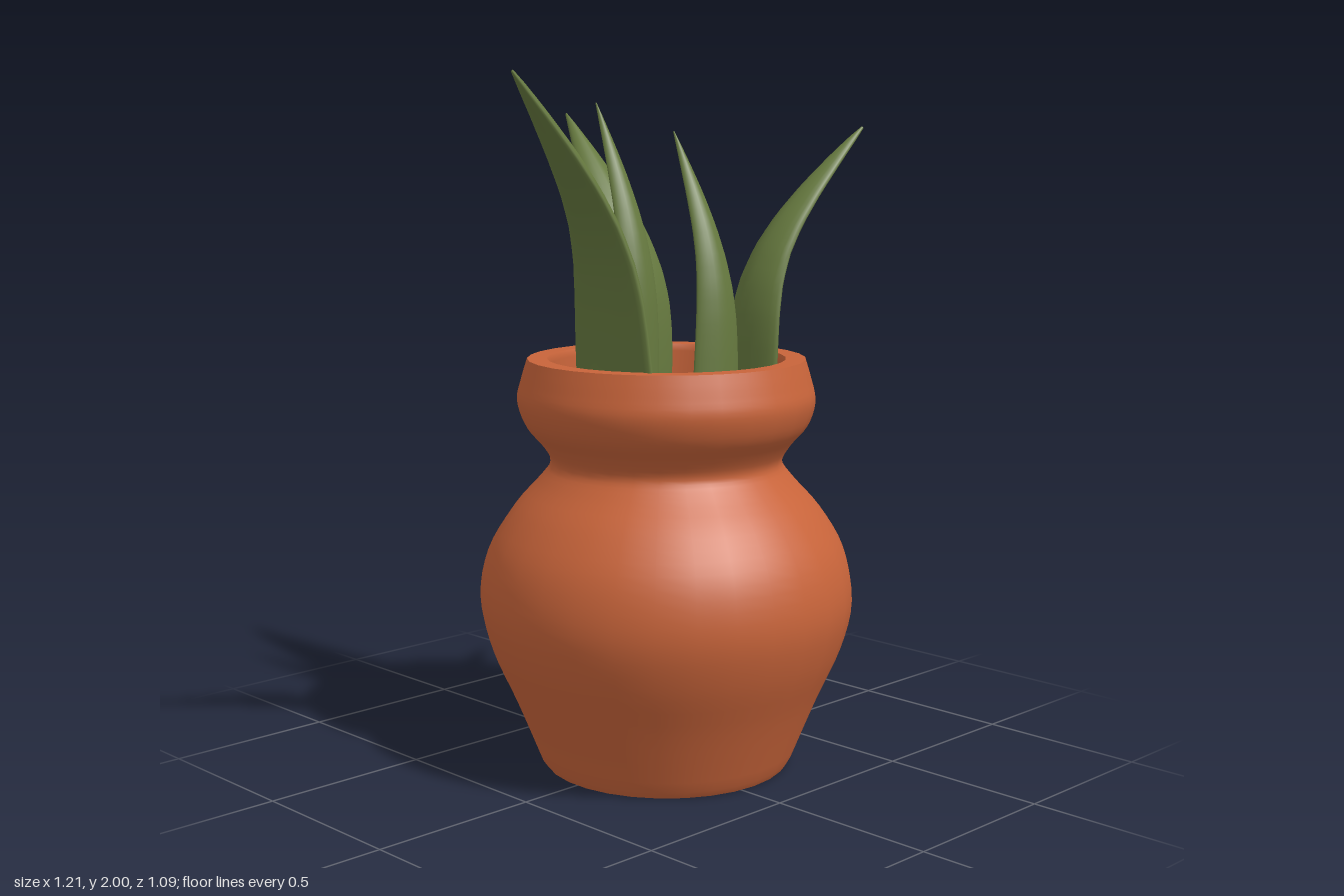
import * as THREE from 'three';

const clay = new THREE.MeshStandardMaterial({ color: 0xc8643a });
const earth = new THREE.MeshStandardMaterial({ color: 0x8a5a46 });
const green = new THREE.MeshStandardMaterial({ color: 0x66793f });

const SOIL_Y = 1.0;
const POT_X = 0.05;

function part(name, geometry, material) {
  const mesh = new THREE.Mesh(geometry, material);
  mesh.name = name;
  return mesh;
}

// Piecewise smooth curve y(x) through a few points, sampled by parameter
function profile(pairs) {
  return new THREE.SplineCurve(pairs.map(([x, y]) => new THREE.Vector2(x, y)));
}

// Pot: outer wall, rim and inner wall in one turned profile
function potGeometry() {
  const wall = profile([
    [0.372, 0.02], [0.445, 0.2], [0.515, 0.36], [0.545, 0.5], [0.52, 0.64],
    [0.45, 0.76], [0.37, 0.85], [0.337, 0.9], [0.36, 0.95], [0.41, 1.01],
    [0.432, 1.08], [0.42, 1.14], [0.402, 1.2],
  ]).getPoints(48);
  const p = (x, y) => new THREE.Vector2(x, y);
  // doubled points keep the foot and rim edges crisp
  const points = [
    p(0, 0), p(0.358, 0), p(0.358, 0), ...wall,
    p(0.402, 1.2), p(0.345, 1.2), p(0.345, 1.2), p(0.335, 1.18), p(0.33, SOIL_Y - 0.03),
  ];
  return new THREE.LatheGeometry(points, 30);
}

// Leaf: outward drift, width and thickness against height fraction
const DRIFT = [[0, 0], [0.2, 0.005], [0.4, 0.03], [0.5, 0.08], [0.6, 0.17], [0.7, 0.33], [0.8, 0.53], [0.9, 0.76], [1, 1]];
const WIDTH = [[0, 1], [0.2, 0.98], [0.4, 0.88], [0.5, 0.77], [0.65, 0.57], [0.78, 0.4], [0.9, 0.2], [1, 0.015]];

function lookup(table, x) {
  let i = 1;
  while (i < table.length - 1 && table[i][0] < x) i++;
  const [x0, y0] = table[i - 1];
  const [x1, y1] = table[i];
  return y0 + ((y1 - y0) * (x - x0)) / (x1 - x0);
}

// Average over a short window rounds off the corners of the table
function smooth(table, x) {
  const r = Math.min(0.08, x, 1 - x);
  return (lookup(table, x - r) + 2 * lookup(table, x) + lookup(table, x + r)) / 4;
}

// Crescent sections swept along a stem that rises, then leans towards the tip
function leafGeometry(base, tip, width) {
  const ROWS = 28, SIDES = 24;
  const up = new THREE.Vector3(0, 1, 0);
  const foot = new THREE.Vector3(base[0], SOIL_Y - 0.02, base[1]);
  const reach = new THREE.Vector3(tip[0] - base[0], 0, tip[2] - base[1]);
  const length = reach.length();
  const out = reach.normalize();
  const side = new THREE.Vector3().crossVectors(out, up);
  const height = tip[1] - foot.y;
  const positions = [], index = [];

  for (let i = 0; i <= ROWS; i++) {
    const f = i / ROWS;
    const lo = Math.max(0, f - 0.03), hi = Math.min(1, f + 0.03);
    const rise = (hi - lo) * height;
    const run = (smooth(DRIFT, hi) - smooth(DRIFT, lo)) * length;
    const scale = Math.hypot(rise, run);
    // inward-facing normal of the stem
    const normal = out.clone().multiplyScalar(-rise / scale).addScaledVector(up, run / scale);
    const centre = foot.clone()
      .addScaledVector(out, smooth(DRIFT, f) * length)
      .addScaledVector(up, f * height)
      .addScaledVector(side, 0.09 * width * Math.sin(Math.PI * f));
    const w = smooth(WIDTH, f);
    const thick = width * 0.1 * Math.min(1, Math.sqrt(w) * 1.1);
    for (let j = 0; j < SIDES; j++) {
      const a = (j / SIDES) * Math.PI * 2;
      const c = Math.cos(a);
      const bow = width * w * 0.13 * (0.5 - Math.pow(Math.abs(c), 1.5));
      const v = centre.clone()
        .addScaledVector(side, (c * w * width) / 2)
        .addScaledVector(normal, Math.sin(a) * thick + bow);
      positions.push(v.x, v.y, v.z);
    }
  }
  for (let i = 0; i < ROWS; i++) {
    for (let j = 0; j < SIDES; j++) {
      const k = (j + 1) % SIDES;
      const a = i * SIDES + j, b = i * SIDES + k;
      index.push(a, a + SIDES, b, b, a + SIDES, b + SIDES);
    }
  }
  // close the tip
  const last = ROWS * SIDES;
  for (let j = 1; j < SIDES - 1; j++) index.push(last, last + j + 1, last + j);

  const geometry = new THREE.BufferGeometry();
  geometry.setAttribute('position', new THREE.Float32BufferAttribute(positions, 3));
  geometry.setIndex(index);
  geometry.computeVertexNormals();
  return geometry;
}

export function createModel() {
  const model = new THREE.Group();
  model.name = 'pottedPlant';

  const pot = part('pot', potGeometry(), clay);
  pot.position.x = POT_X;
  model.add(pot);

  const soil = part('soil', new THREE.CircleGeometry(0.336, 30), earth);
  soil.rotation.x = -Math.PI / 2;
  soil.position.set(POT_X, SOIL_Y, 0);
  model.add(soil);

  // base [x, z], tip [x, y, z], width at the base
  const leaves = [
    ['rightLeaf', [-0.205, 0.09], [-0.6, 2.0, 0.095], 0.31],
    ['leftLeaf', [0.235, 0.13], [0.6, 1.855, 0.262], 0.3],
    ['backLeaf', [0.045, -0.17], [0.158, 1.895, -0.547], 0.32],
    ['smallBackLeaf', [-0.05, -0.02], [-0.028, 1.925, -0.21], 0.165],
    ['smallFrontLeaf', [0.005, 0.24], [0.028, 1.845, 0.05], 0.165],
  ];
  for (const [name, base, tip, width] of leaves) {
    model.add(part(name, leafGeometry(base, tip, width), green));
  }
  return model;
}
